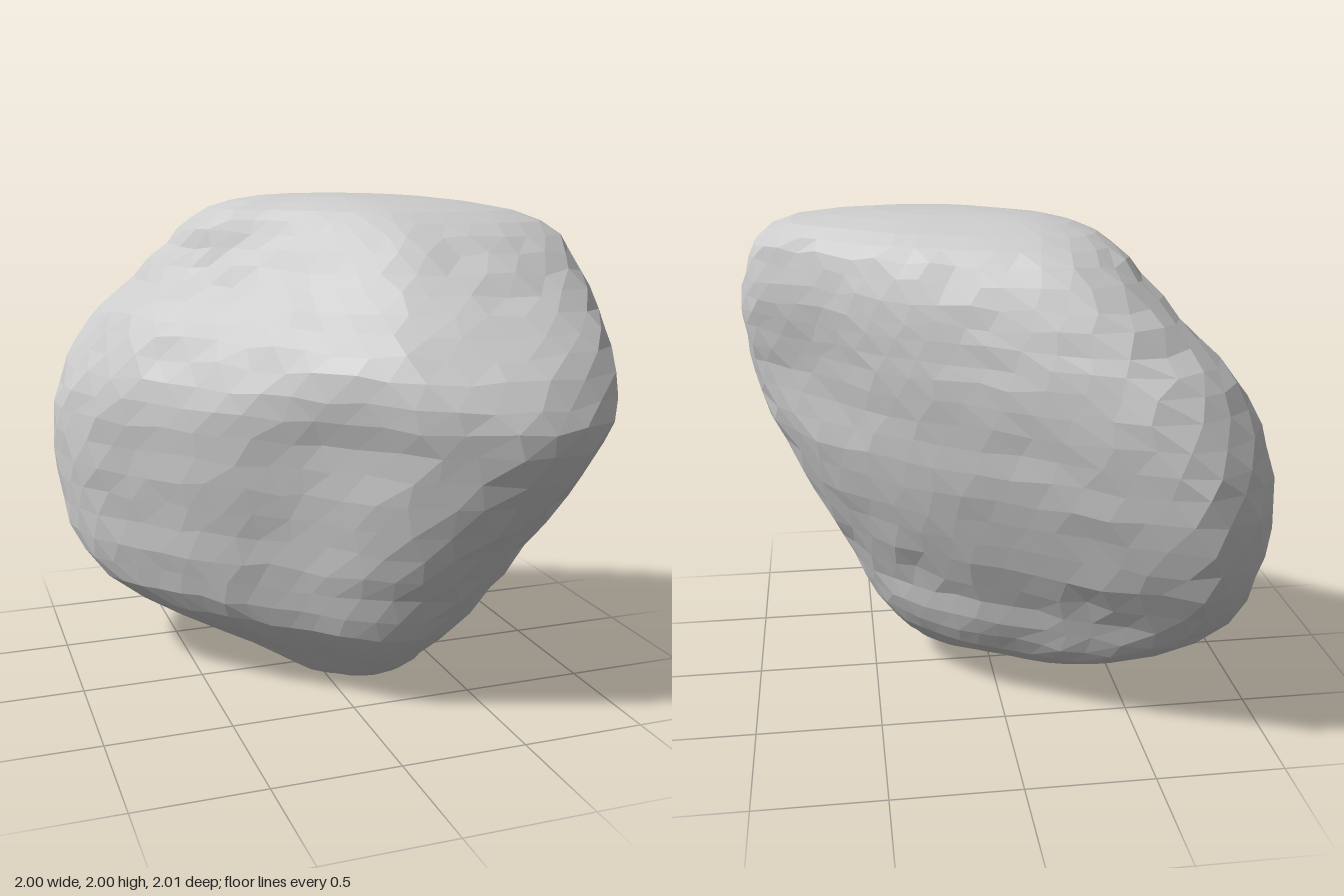
import * as THREE from 'three';

// Horizontal sections from bottom to top: y, then min x, max x, min z, max z
const SECTIONS = [
  [0.02, -0.06, 0.18, 0.04, 0.26], [0.06, -0.14, 0.26, -0.08, 0.35],
  [0.13, -0.28, 0.32, -0.25, 0.44], [0.2, -0.47, 0.37, -0.46, 0.51],
  [0.3, -0.69, 0.45, -0.62, 0.6], [0.42, -0.87, 0.53, -0.75, 0.67],
  [0.55, -0.95, 0.6, -0.84, 0.75], [0.7, -0.98, 0.68, -0.93, 0.82],
  [0.85, -1, 0.77, -0.97, 0.9], [1, -1, 0.85, -1, 0.96],
  [1.15, -0.98, 0.92, -0.99, 1], [1.27, -0.94, 0.96, -0.97, 0.97],
  [1.4, -0.87, 0.99, -0.93, 0.88], [1.5, -0.8, 1, -0.87, 0.8],
  [1.6, -0.7, 1, -0.8, 0.7], [1.7, -0.6, 0.98, -0.73, 0.61],
  [1.8, -0.51, 0.95, -0.64, 0.52], [1.88, -0.44, 0.9, -0.55, 0.43],
  [1.94, -0.36, 0.77, -0.45, 0.32], [1.98, -0.23, 0.52, -0.32, 0.16],
  [1.995, -0.08, 0.3, -0.2, 0.03],
];
// Outline of a section seen from above, as x, z within -1..1
const OUTLINE = [
  [-0.62, -1], [-0.8, -0.95], [-0.93, -0.82], [-1, -0.6], [-0.97, -0.36],
  [-0.88, -0.17], [-0.7, 0.02], [-0.5, 0.23], [-0.35, 0.36], [-0.15, 0.5],
  [0, 0.63], [0.2, 0.82], [0.42, 0.95], [0.63, 1], [0.82, 0.96], [0.95, 0.86],
  [1, 0.45], [1, 0.2], [0.94, 0.05], [0.86, -0.07], [0.7, -0.23],
  [0.4, -0.48], [0, -0.7], [-0.3, -0.87],
];
const SIDES = 40;
const ROWS = 30;

// Small seeded generator in -1..1
function seeded(seed) {
  return () => {
    seed = (seed * 16807) % 2147483647;
    return (seed / 2147483647) * 2 - 1;
  };
}

// Forward push of the upper half: a fuller front, a flatter back
function shoulder(p, y) {
  const along = (p.x + p.z) / Math.SQRT2;
  const amount = p.z > p.x ? 0.16 : 0.08;
  const spread = Math.exp(-(((along - 0.45) / 0.5) ** 2));
  return amount * spread * THREE.MathUtils.smoothstep(y, 1.05, 1.45) * Math.SQRT1_2;
}

function boulderGeometry() {
  const rand = seeded(71);
  const pos = [];
  const index = [];
  const spline = (points, closed) =>
    new THREE.CatmullRomCurve3(points.map((p) => new THREE.Vector3(...p)), closed, 'catmullrom');
  const outline = spline(OUTLINE.map(([x, z]) => [x, 0, z]), true);
  const spanX = spline(SECTIONS.map(([y, x0, x1]) => [x0, y, x1]), false);
  const spanZ = spline(SECTIONS.map(([y, , , z0, z1]) => [z0, y, z1]), false);

  // Loops fitted to each section, with uneven spacing for a chipped surface
  for (let row = 0; row < ROWS; row++) {
    const { x: x0, y, z: x1 } = spanX.getPoint(row / (ROWS - 1));
    const { x: z0, z: z1 } = spanZ.getPoint(row / (ROWS - 1));
    const hx = (x1 - x0) / 2, hz = (z1 - z0) / 2;
    const rough = y > 0.25 && y < 1.85 ? 1 : 0;
    const swell = 0.15 * Math.max(0, 1 - y / 0.5); // rounder underside
    for (let i = 0; i < SIDES; i++) {
      const t = (i + (row % 2) * 0.5 + rand() * 0.2 + 1) / SIDES;
      const p = outline.getPointAt(1 - (t % 1));
      const chip = 1 + rough * rand() * 0.008;
      const shift = (p.x - p.z) * swell - shoulder(p, y);
      pos.push(
        (x0 + x1) / 2 + hx * (p.x * chip + shift),
        y + rough * rand() * 0.012,
        (z0 + z1) / 2 + hz * (p.z * chip - shift),
      );
    }
  }

  // Skin between neighbouring loops
  for (let row = 0; row < ROWS - 1; row++) {
    for (let i = 0; i < SIDES; i++) {
      const n = (i + 1) % SIDES;
      const a = row * SIDES + i, b = row * SIDES + n;
      const c = a + SIDES, d = b + SIDES;
      if (row % 2) index.push(a, d, b, a, c, d);
      else index.push(a, c, b, b, c, d);
    }
  }

  // Bottom and top caps
  const bottom = pos.length / 3, top = bottom + 1;
  const last = (ROWS - 1) * SIDES;
  pos.push(0.07, 0, 0.15, 0.1, 2, -0.09);
  for (let i = 0; i < SIDES; i++) {
    const n = (i + 1) % SIDES;
    index.push(bottom, i, n, top, last + n, last + i);
  }

  const geometry = new THREE.BufferGeometry();
  geometry.setAttribute('position', new THREE.Float32BufferAttribute(pos, 3));
  geometry.setIndex(index);
  geometry.computeVertexNormals();
  return geometry;
}

export function createModel() {
  const group = new THREE.Group();
  group.name = 'rock';
  const stone = new THREE.MeshStandardMaterial({ color: 0xcccccc, flatShading: true });
  const boulder = new THREE.Mesh(boulderGeometry(), stone);
  boulder.name = 'boulder';
  group.add(boulder);
  return group;
}
